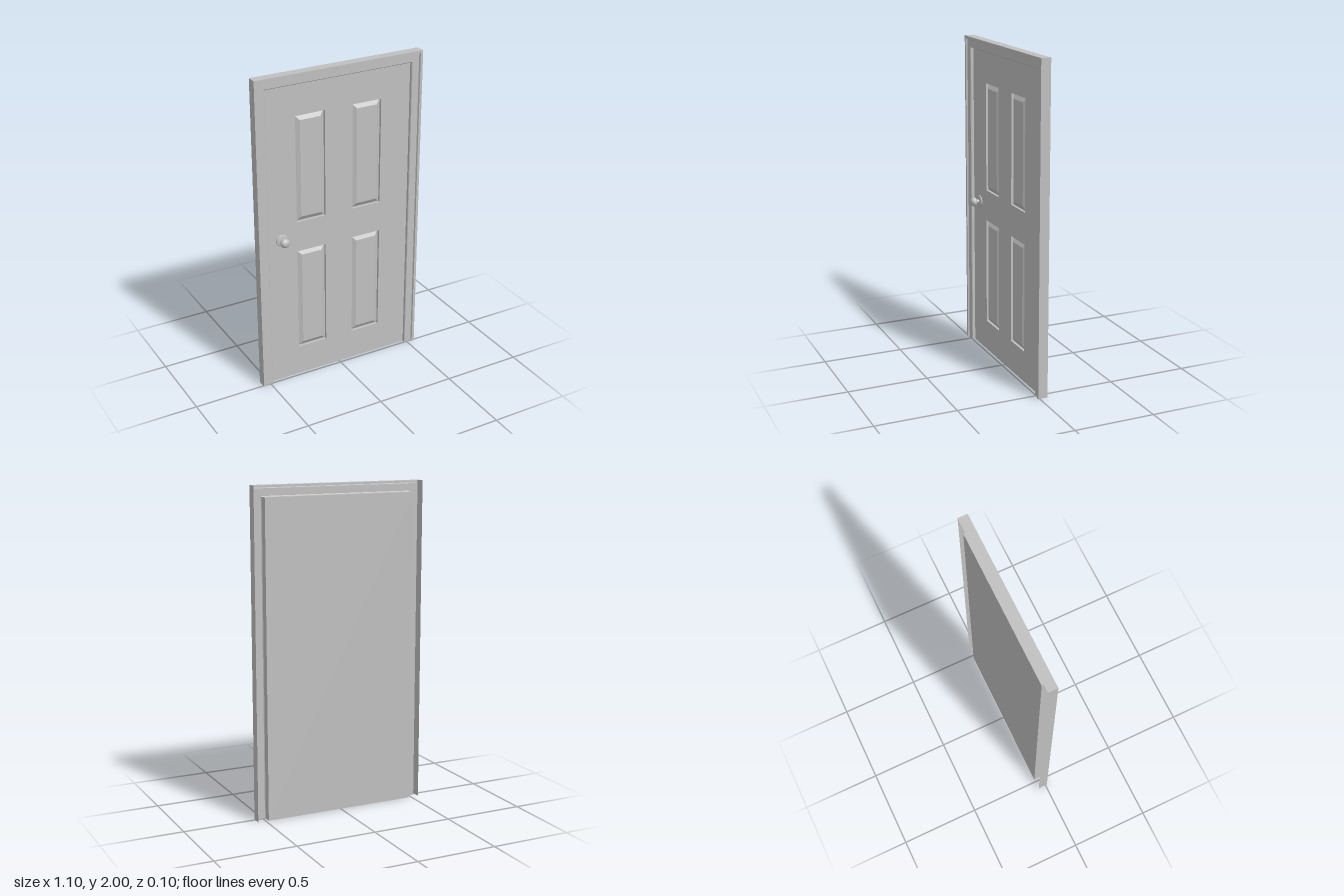
import * as THREE from 'three';

const paint = new THREE.MeshStandardMaterial({ color: 0xc0c0c0 });
paint.name = 'grey paint';
const shellPaint = paint.clone();
shellPaint.name = 'grey paint, two sided';
shellPaint.side = THREE.DoubleSide;

const BACK = -0.05, GROOVE = -0.036, FACE = -0.02; // depths of the door leaf
const HALF_W = 0.482, TOP = 1.932;

function add(parent, name, geometry, material = paint) {
  const mesh = new THREE.Mesh(geometry, material);
  mesh.name = name;
  parent.add(mesh);
  return mesh;
}

// Thin moulded casing: a profile of [inset, z] swept up, across and down with mitred corners
function casingGeometry(profile) {
  const path = ([o, z]) => {
    const x = 0.55 - o, y = 2 - o;
    return [[-x, 0, z], [-x, y, z], [x, y, z], [x, 0, z]];
  };
  const pos = [];
  for (let i = 0; i < profile.length - 1; i++) {
    const p = path(profile[i]), q = path(profile[i + 1]);
    for (let j = 0; j < 3; j++) {
      pos.push(...p[j], ...q[j], ...q[j + 1], ...p[j], ...q[j + 1], ...p[j + 1]);
    }
  }
  const g = new THREE.BufferGeometry();
  g.setAttribute('position', new THREE.Float32BufferAttribute(pos, 3));
  g.computeVertexNormals();
  return g;
}

// Raised field: a box whose front is drawn in to make sloping sides
function raisedPanelGeometry(w, h, depth, bevel) {
  const g = new THREE.BoxGeometry(w, h, depth).toNonIndexed();
  const p = g.attributes.position;
  for (let i = 0; i < p.count; i++) {
    if (p.getZ(i) > 0) {
      p.setX(i, p.getX(i) - Math.sign(p.getX(i)) * bevel);
      p.setY(i, p.getY(i) - Math.sign(p.getY(i)) * bevel);
    }
  }
  g.computeVertexNormals();
  return g;
}

function rectangle(path, x0, y0, x1, y1) {
  path.moveTo(x0, y0);
  path.lineTo(x1, y0);
  path.lineTo(x1, y1);
  path.lineTo(x0, y1);
  path.closePath();
  return path;
}

export function createModel() {
  const model = new THREE.Group();
  model.name = 'panelled door';

  // Casing around the door
  add(model, 'casing', casingGeometry([
    [0, BACK], [0, 0.01], [0.016, 0.01], [0.02, 0], [0.064, 0], [0.068, -0.004], [0.068, FACE],
  ]), shellPaint);

  // Door leaf: solid back layer and a front layer with four openings
  const door = new THREE.Group();
  door.name = 'door';
  model.add(door);
  const backDepth = GROOVE - BACK;
  add(door, 'doorBack', new THREE.BoxGeometry(HALF_W * 2, TOP, backDepth))
    .position.set(0, TOP / 2, BACK + backDepth / 2);

  const front = rectangle(new THREE.Shape(), -HALF_W, 0, HALF_W, TOP);
  const depth = FACE - GROOVE;
  const w = 0.193, h = 0.673, gap = 0.004;
  for (const side of [-1, 1]) {
    for (const y of [0.532, 1.4]) {
      const x = side * 0.189;
      front.holes.push(rectangle(new THREE.Path(), x - w / 2, y - h / 2, x + w / 2, y + h / 2));
      add(door, 'raisedPanel', raisedPanelGeometry(w - gap * 2, h - gap * 2, depth, 0.026))
        .position.set(x, y, GROOVE + depth / 2);
    }
  }
  add(door, 'doorFront', new THREE.ExtrudeGeometry(front, { depth, bevelEnabled: false }))
    .position.z = GROOVE;

  // Knob on its round plate
  const knob = new THREE.Group();
  knob.name = 'knob';
  knob.position.set(-0.388, 0.968, 0);
  model.add(knob);
  const turned = (name, points) => {
    const g = new THREE.LatheGeometry(points.map(([r, z]) => new THREE.Vector2(r, z)), 32);
    add(knob, name, g.rotateX(Math.PI / 2));
  };
  turned('knobPlate', [[0.038, FACE], [0.038, -0.016], [0.034, -0.012], [0.012, -0.01]]);
  turned('knobNeck', [[0.012, -0.012], [0.012, 0.01]]);
  const ball = add(knob, 'knobBall', new THREE.SphereGeometry(0.029, 32, 20).rotateX(Math.PI / 2));
  ball.scale.z = 0.76;
  ball.position.z = 0.023;

  return model;
}
